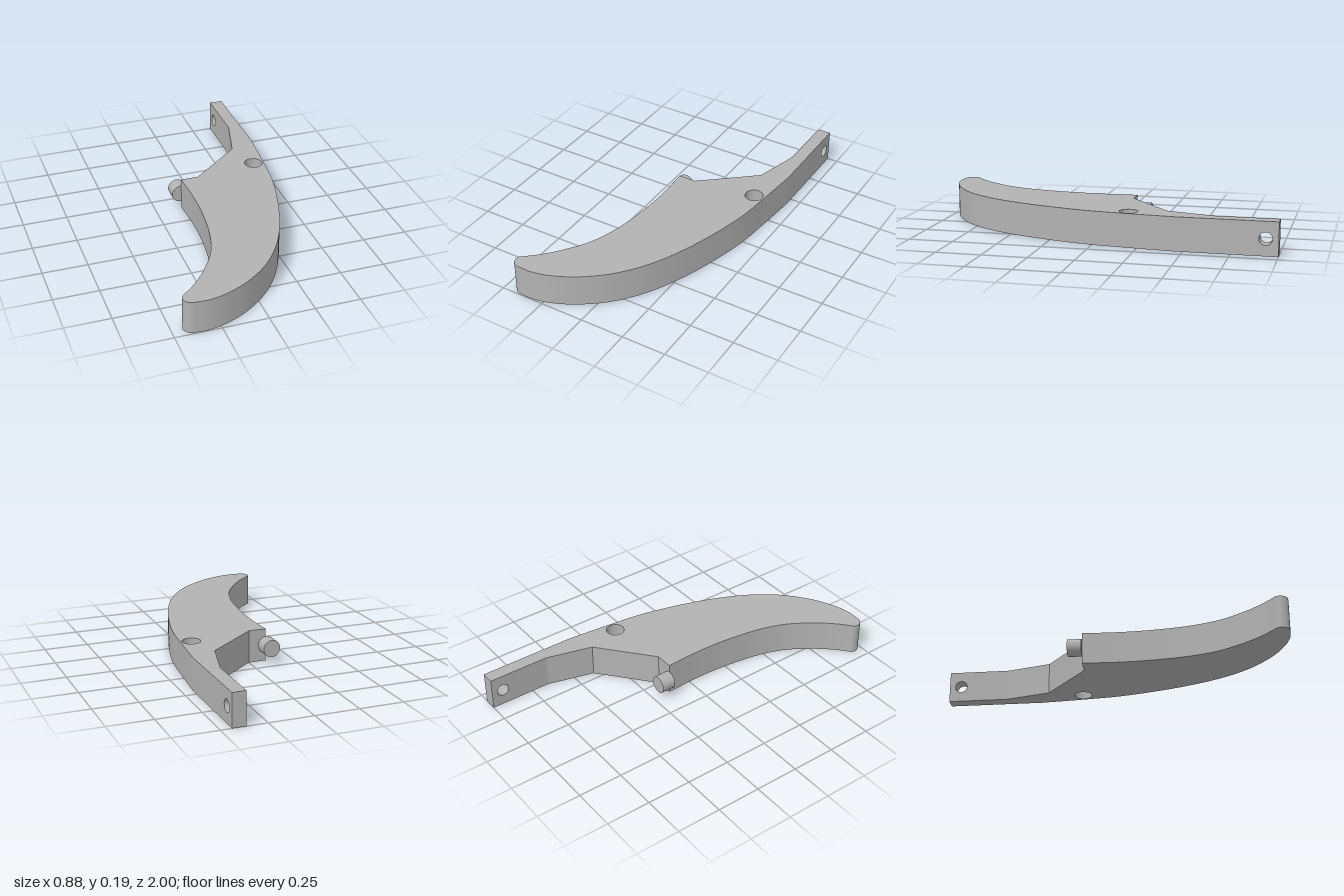
import * as THREE from 'three';
import { toCreasedNormals } from 'three/addons/utils/BufferGeometryUtils.js';

const H = 0.185;        // plate thickness
const SPLIT = 0.84;     // where the drilled tail end begins
const v = (x, z) => new THREE.Vector2(x, -z);

function circleHole(x, y, r) {
  const hole = new THREE.Path();
  hole.absarc(x, y, r, 0, Math.PI * 2, true);
  return hole;
}

function extrude(shape, depth) {
  return new THREE.ExtrudeGeometry(shape, { depth, bevelEnabled: false, curveSegments: 12 });
}

export function createModel() {
  const model = new THREE.Group();
  model.name = 'curvedLever';
  const metal = new THREE.MeshStandardMaterial({ color: 0xb2b2b2 });
  metal.name = 'grey metal';

  const add = (geometry, name) => {
    const mesh = new THREE.Mesh(toCreasedNormals(geometry, 0.22), metal);
    mesh.name = name;
    model.add(mesh);
    return mesh;
  };

  // Curved blade with its shoulder and the pivot hole, drawn in plan
  const plan = new THREE.Shape();
  plan.moveTo(0.365, SPLIT);
  plan.lineTo(0.365, 0.65);
  plan.lineTo(0.295, 0.39);
  plan.lineTo(0, 0.145);
  plan.lineTo(-0.1, 0.145);
  plan.splineThru([
    v(-0.092, 0.05), v(-0.1, 0.24), v(-0.13, 0.45), v(-0.185, 0.62),
    v(-0.27, 0.755), v(-0.35, 0.85), v(-0.435, 0.925),
  ]);
  plan.splineThru([v(-0.441, 0.945), v(-0.435, 0.968), v(-0.42, 0.985), v(-0.4, 0.993)]);
  plan.splineThru([
    v(-0.31, 0.995), v(-0.2, 0.967), v(-0.07, 0.9), v(0.07, 0.782),
    v(0.195, 0.605), v(0.3, 0.36), v(0.385, 0.05), v(0.417, -0.2), v(0.44, -0.45),
  ]);
  plan.lineTo(0.44, SPLIT);
  plan.closePath();
  plan.holes.push(circleHole(0.355, 0.193, 0.051));
  add(extrude(plan, H).rotateX(-Math.PI / 2), 'blade');

  // Tail end with a cross hole
  const side = new THREE.Shape([
    new THREE.Vector2(SPLIT, 0), new THREE.Vector2(1, 0),
    new THREE.Vector2(1, H), new THREE.Vector2(SPLIT, H),
  ]);
  side.holes.push(circleHole(0.932, H / 2, 0.035));
  add(extrude(side, 0.075).rotateY(Math.PI / 2), 'tailEnd').position.x = 0.365;

  // Round peg on the shoulder
  const peg = new THREE.CylinderGeometry(0.049, 0.049, 0.08, 40).rotateX(Math.PI / 2);
  add(peg, 'peg').position.set(-0.105, H / 2, -0.185);

  return model;
}
